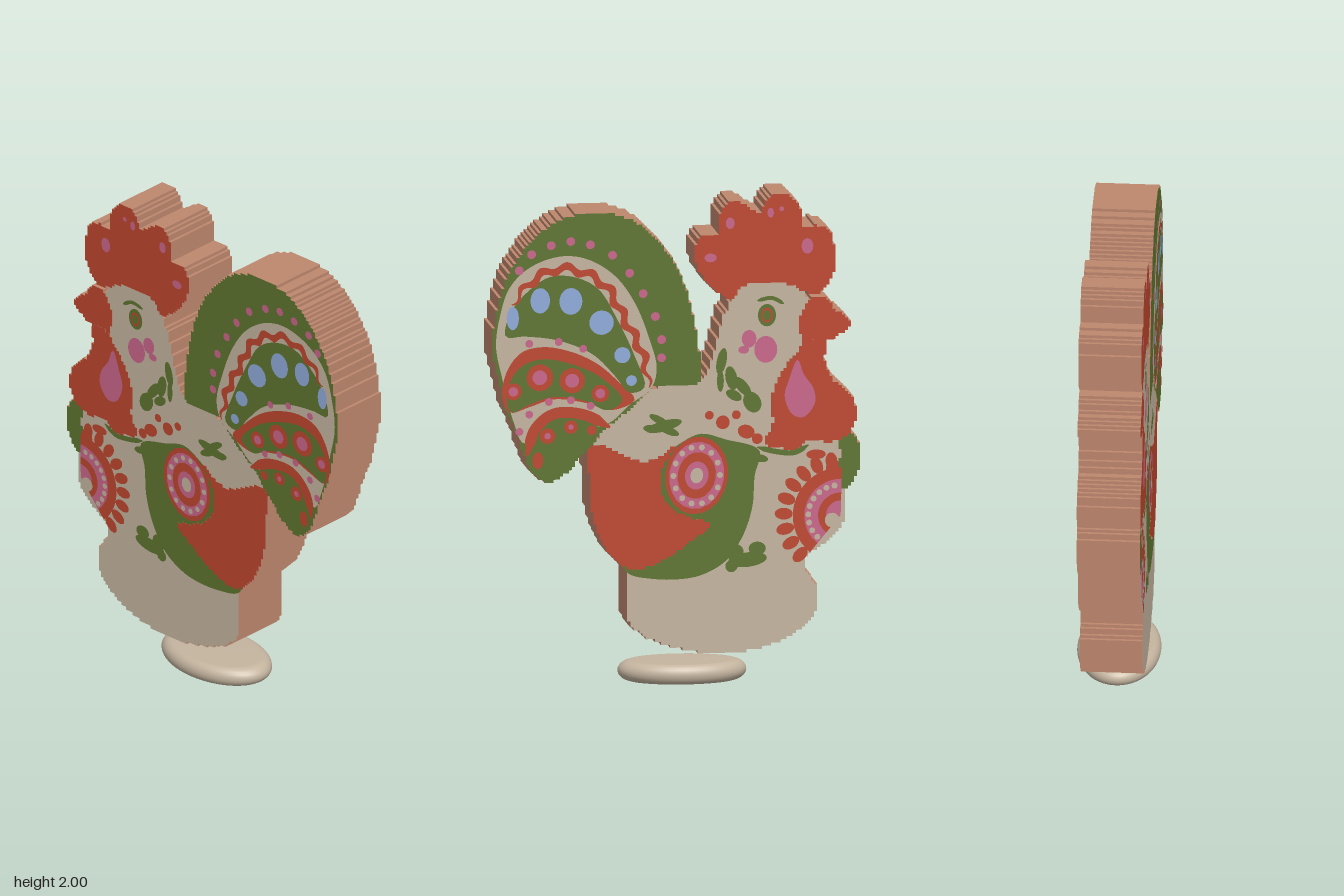
import * as THREE from 'three';

const paint = (name, color) => new THREE.MeshStandardMaterial({ name, color });
const cream = paint('cream', 0xc4b49f), wood = paint('wood', 0xbd866d), red = paint('red', 0xbd452d);
const green = paint('green', 0x5e742e), pink = paint('pink', 0xc9658a), blue = paint('blue', 0x8fabda);

const HALF = 0.127, LAYER = 0.0009, GRID = 0.0125;

// Smooth curve through flat x,y pairs
const spline = (p, closed, n) => {
  const v = [];
  for (let i = 0; i < p.length; i += 2) v.push(new THREE.Vector3(p[i], p[i + 1], 0));
  return new THREE.CatmullRomCurve3(v, closed, 'centripetal').getSpacedPoints(n).map(q => new THREE.Vector2(q.x, q.y));
};
const blob = p => new THREE.Shape(spline(p, true, p.length * 3));

// Outline snapped to a square grid, giving the stepped saw-cut edge
const stepped = p => {
  const out = [];
  const add = (x, y) => {
    const l = out[out.length - 1];
    if (!l || l.x !== x || l.y !== y) out.push(new THREE.Vector2(x, y));
  };
  for (const q of spline(p, true, 700)) {
    const x = Math.round(q.x / GRID) * GRID, y = Math.round(q.y / GRID) * GRID;
    const l = out[out.length - 1];
    if (l && l.x !== x && l.y !== y) add(x, l.y);
    add(x, y);
  }
  if (out[0].equals(out[out.length - 1])) out.pop();
  // keep only the corners
  return new THREE.Shape(out.filter((q, i) => {
    const a = out[(i + out.length - 1) % out.length], b = out[(i + 1) % out.length];
    return !((a.x === q.x && q.x === b.x) || (a.y === q.y && q.y === b.y));
  }));
};

// Ellipse, pie slice and ribbon shapes
const oval = (x, y, rx, ry = rx, tilt = 0) =>
  new THREE.Shape(new THREE.EllipseCurve(x, y, rx, ry, 0, Math.PI * 2, false, tilt).getPoints(20).slice(0, -1));
const pie = (x, y, r, a, b) => {
  const s = new THREE.Shape([new THREE.Vector2(x, y)]);
  for (let i = 0; i <= 20; i++) {
    const t = a + (b - a) * i / 20;
    s.lineTo(x + r * Math.cos(t), y + r * Math.sin(t));
  }
  return s;
};
const ribbon = (p, w, wave = 0, count = 0) => {
  const n = 90, c = spline(p, false, n), left = [], right = [];
  c.forEach((q, i) => {
    const t = c[Math.min(i + 1, n)].clone().sub(c[Math.max(i - 1, 0)]).normalize();
    const taper = w / 2 * Math.min(1, 0.2 + 6 * Math.min(i, n - i) / n);
    const o = wave * Math.sin(i / n * count * Math.PI * 2);
    left.push(new THREE.Vector2(q.x - t.y * (o + taper), q.y + t.x * (o + taper)));
    right.unshift(new THREE.Vector2(q.x - t.y * (o - taper), q.y + t.x * (o - taper)));
  });
  return new THREE.Shape(left.concat(right));
};

export function createModel() {
  const model = new THREE.Group();
  model.name = 'rooster';

  // Thick cut-out with painted faces and bare wooden sides
  const slab = (name, pts, face, layer) => {
    const h = HALF + layer * LAYER;
    const g = new THREE.ExtrudeGeometry(stepped(pts), { depth: 2 * h, bevelEnabled: false });
    g.translate(0, 0, -h);
    const m = new THREE.Mesh(g, [face, wood]);
    m.name = name;
    model.add(m);
  };
  // Paint on both the front and the back face
  const decal = (name, mat, layer, shapes) => {
    const group = new THREE.Group();
    group.name = name;
    const front = new THREE.ShapeGeometry(shapes), back = front.clone();
    const idx = back.index.array;
    for (let i = 0; i < idx.length; i += 3) [idx[i], idx[i + 1]] = [idx[i + 1], idx[i]];
    back.scale(1, 1, 1);
    back.attributes.normal.array.forEach((v, i, a) => { a[i] = -v; });
    [front, back].forEach((g, i) => {
      const m = new THREE.Mesh(g, mat);
      m.name = name + (i ? 'Back' : 'Front');
      m.position.z = (i ? -1 : 1) * (HALF + layer * LAYER);
      group.add(m);
    });
    model.add(group);
  };

  // Oval foot
  const profile = [new THREE.Vector2(0, 0)];
  for (let i = 0; i <= 12; i++) {
    const a = -Math.PI / 2 + Math.PI * i / 12;
    profile.push(new THREE.Vector2(0.135 + 0.035 * Math.cos(a), 0.041 + 0.041 * Math.sin(a)));
  }
  profile.push(new THREE.Vector2(0, 0.082));
  const foot = new THREE.Mesh(new THREE.LatheGeometry(profile, 64), cream);
  foot.name = 'foot';
  foot.scale.x = 0.262 / 0.17;
  foot.position.x = -0.04;
  model.add(foot);

  // Main cut-outs
  slab('body', [-.5, 1.65, -.53, 1.58, -.53, 1.45, -.56, 1.36, -.6, 1.3, -.63, 1.2, -.68, 1.12, -.68, 1, -.68, .9, -.69, .8,
    -.685, .66, -.635, .585, -.545, .52, -.52, .475, -.57, .39, -.58, .32, -.545, .25, -.455, .18, -.335, .14, -.18, .125,
    -.02, .145, .125, .2, .195, .265, .2, .41, .2, .47, .28, .56, .32, .65, .34, .76, .345, .9, .33, 1, .25, 1.1, .08, 1.22,
    -.1, 1.24, -.14, 1.315, -.165, 1.405, -.19, 1.5, -.23, 1.58, -.28, 1.68, -.4, 1.7], cream, 0);
  slab('comb', [-.57, 1.585, -.64, 1.67, -.645, 1.755, -.63, 1.845, -.57, 1.87, -.525, 1.86, -.51, 1.935, -.47, 1.99, -.425, 2,
    -.38, 1.985, -.34, 1.925, -.29, 1.955, -.235, 1.975, -.19, 1.945, -.17, 1.87, -.165, 1.835, -.11, 1.84, -.075, 1.785,
    -.09, 1.7, -.15, 1.62, -.23, 1.575, -.26, 1.62, -.35, 1.64, -.44, 1.635, -.52, 1.6], red, 1);
  slab('beak', [-.615, 1.57, -.56, 1.575, -.53, 1.55, -.5, 1.46, -.53, 1.38, -.62, 1.395, -.715, 1.46, -.69, 1.495, -.65, 1.52], red, 1);
  slab('wattle', [-.61, 1.385, -.605, 1.315, -.64, 1.235, -.715, 1.165, -.735, 1.075, -.69, 1, -.625, .98, -.545, .99, -.495, .955,
    -.415, .96, -.36, .98, -.395, 1.065, -.385, 1.155, -.425, 1.26, -.48, 1.34, -.545, 1.4], red, 2);
  slab('breastLeaf', [-.67, 1.02, -.73, 1, -.755, .93, -.74, .855, -.69, .79, -.65, .81, -.67, .92], green, 1);
  slab('tail', [-.09, 1.235, -.09, 1.395, -.07, 1.51, -.035, 1.635, .025, 1.755, .105, 1.855, .21, 1.92, .325, 1.94, .455, 1.92,
    .56, 1.855, .64, 1.765, .695, 1.67, .735, 1.525, .75, 1.395, .725, 1.26, .695, 1.145, .65, 1.035, .615, .935, .575, .865,
    .515, .84, .45, .875, .4, .93, .35, .98, .3, 1.045, .19, 1.13, .1, 1.22], green, 1);
  slab('redWing', [.35, .98, .355, .85, .35, .75, .325, .64, .28, .55, .22, .49, .165, .475, .06, .505, -.05, .58, -.14, .655,
    -.07, .68, .03, .73, .065, .82, .05, .9, 0, .98, .06, .94, .13, .915, .22, .945, .3, .985], red, 2);

  // Wing underlay and its round medallion
  decal('greenWing', green, 1, [blob([-.34, .95, -.2, 1, -.1, 1.025, -.02, .99, .06, .93, .14, .85, .2, .7, .22, .49, .19, .455,
    .1, .435, 0, .43, -.1, .445, -.2, .5, -.27, .6, -.31, .72, -.32, .85])]);
  [[.128, .16, red], [.112, .138, pink], [.078, .096, red], [.048, .058, pink], [.026, .032, cream]].forEach(([rx, ry, m], i) =>
    decal('medallionRing' + i, m, 3 + i, [oval(-.083, .855, rx, ry, .15)]));
  const flecks = [], petals = [], petalFlecks = [];
  for (let i = 0; i < 14; i++) {
    const a = i / 14 * Math.PI * 2;
    flecks.push(oval(-.083 + .095 * Math.cos(a), .855 + .117 * Math.sin(a), .012));
  }
  decal('medallionFlecks', cream, 5, flecks);

  // Breast flower
  for (let i = 0; i < 9; i++) {
    const a = -.8 + 2.25 * i / 8;
    petals.push(oval(-.66 + .222 * Math.cos(a), .68 + .222 * Math.sin(a), .037, .024, a));
    petalFlecks.push(oval(-.66 + .122 * Math.cos(a), .68 + .122 * Math.sin(a), .012));
  }
  decal('flowerPetals', red, 1, petals);
  decal('flowerSpray', red, 1, [oval(-.64, .87, .03, .04), oval(-.57, .93, .04, .02), oval(-.6, .83, .025)]);
  [[.195, red], [.148, pink], [.092, red], [.06, pink]].forEach(([r, m], i) =>
    decal('flowerRing' + i, m, 2 + i, [pie(-.67, .68, r, -.88, 1.6)]));
  decal('flowerFlecks', cream, 4, petalFlecks);
  decal('flowerHeart', cream, 6, [oval(-.635, .66, .03)]);

  // Tail feathers, from the outer band inwards
  decal('outerDots', pink, 2, [[.06, 1.34], [.06, 1.415], [.085, 1.51], [.135, 1.605], [.19, 1.69], [.26, 1.765], [.35, 1.81],
    [.43, 1.825], [.51, 1.81], [.59, 1.775], [.64, 1.71]].map(([x, y]) => oval(x, y, .018)));
  decal('creamFeather', cream, 2, [blob([.1, 1.22, .08, 1.3, .11, 1.42, .17, 1.57, .25, 1.68, .36, 1.75, .47, 1.765, .6, 1.72,
    .68, 1.64, .72, 1.52, .735, 1.4, .71, 1.27, .66, 1.08, .62, 1, .5, 1.08, .36, 1.06, .27, 1.08, .19, 1.15])]);
  decal('greenFeather', green, 3, [blob([.13, 1.22, .17, 1.35, .24, 1.5, .32, 1.63, .42, 1.68, .52, 1.68, .62, 1.61, .68, 1.53,
    .695, 1.44, .62, 1.44, .48, 1.42, .34, 1.36, .25, 1.27, .19, 1.2])]);
  decal('wavyBand', red, 4, [ribbon([.11, 1.22, .14, 1.36, .21, 1.5, .29, 1.64, .4, 1.705, .5, 1.71, .6, 1.655, .67, 1.57], .032, .012, 9)]);
  decal('blueSpots', blue, 4, [oval(.305, 1.49, .05), oval(.43, 1.58, .047, .055), oval(.555, 1.585, .04, .052),
    oval(.667, 1.515, .025, .048), oval(.22, 1.355, .033), oval(.183, 1.25, .022)]);
  decal('redFeather', red, 3, [blob([.17, 1.17, .24, 1.25, .32, 1.32, .42, 1.37, .54, 1.395, .63, 1.375, .69, 1.3, .71, 1.2,
    .68, 1.13, .6, 1.15, .5, 1.18, .36, 1.16, .27, 1.13])]);
  decal('middleFeather', green, 4, [blob([.22, 1.17, .3, 1.26, .42, 1.32, .55, 1.345, .64, 1.31, .69, 1.22, .675, 1.13, .6, 1.16,
    .5, 1.19, .37, 1.17, .28, 1.13])]);
  const berries = [[.31, 1.2, .036], [.425, 1.255, .052], [.557, 1.27, .055], [.665, 1.215, .035]];
  decal('berries', red, 5, berries.map(([x, y, r]) => oval(x, y, r)));
  decal('berryHearts', pink, 6, berries.map(([x, y, r]) => oval(x, y, r * .55)));
  decal('featherFlecks', pink, 5, [[.35, 1.15], [.43, 1.175], [.52, 1.17], [.6, 1.12], [.64, 1.05], [.38, 1.385], [.48, 1.415], [.6, 1.41]]
    .map(([x, y]) => oval(x, y, .016)));
  decal('lowerBand', red, 4, [ribbon([.27, 1.06, .38, 1.115, .5, 1.12, .575, 1.06, .61, .95], .045)]);
  decal('lowerFeather', green, 3, [blob([.31, 1.05, .4, 1.1, .5, 1.1, .57, 1.03, .595, .93, .56, .87, .5, .87, .4, .95])]);
  decal('lowerBerries', red, 4, [oval(.43, 1.065, .028), oval(.525, 1.03, .032), oval(.565, .93, .022, .035), oval(.345, 1.05, .02)]);
  decal('lowerBerryHearts', pink, 5, [oval(.43, 1.065, .011), oval(.525, 1.03, .013)]);

  // Leaves on the neck, saddle and belly
  decal('neckLeaves', green, 1, [oval(-.31, 1.15, .035, .045, -.5), oval(-.27, 1.215, .022, .05, -.7), oval(-.225, 1.25, .024, .05, -.2),
    oval(-.185, 1.32, .02, .055, .2), oval(-.235, 1.18, .035, .02, .5), oval(-.18, 1.24, .014, .045)]);
  decal('saddleLeaves', green, 1, [oval(.05, 1.06, .075, .022, -.25), oval(.07, 1.085, .045, .015, .5), oval(.03, 1.04, .045, .016, .4),
    oval(.1, 1.05, .035, .016, .1)]);
  decal('bellyLeaves', green, 2, [oval(-.33, .55, .035, .028), oval(-.29, .505, .08, .03, -.1), oval(-.24, .535, .035, .035), oval(-.225, .48, .025)]);
  decal('collarLine', green, 3, [ribbon([-.54, .97, -.48, .94, -.41, .945, -.33, .965], .022), oval(-.34, .92, .035, .016, .2)]);
  decal('collarDots', red, 2, [oval(-.285, 1.03, .035, .028, .3), oval(-.19, 1.07, .028), oval(-.135, 1.1, .018), oval(-.245, 1.1, .018),
    oval(-.33, 1.0, .022)]);

  // Face
  decal('eye', green, 1, [oval(-.37, 1.505, .037, .046), ribbon([-.44, 1.55, -.39, 1.575, -.33, 1.565], .016)]);
  decal('eyeRing', red, 2, [oval(-.37, 1.505, .024, .031)]);
  decal('pupil', green, 3, [oval(-.37, 1.505, .016, .022)]);
  decal('cheeks', pink, 1, [oval(-.365, 1.365, .047, .055), oval(-.297, 1.41, .03, .036), oval(-.275, 1.365, .022, .016)]);
  decal('wattleDrop', pink, 3, [blob([-.495, 1.32, -.46, 1.24, -.442, 1.17, -.475, 1.095, -.52, 1.085, -.565, 1.14, -.56, 1.2, -.52, 1.26])]);
  decal('combDots', pink, 2, [oval(-.535, 1.785, .024, .032), oval(-.22, 1.885, .018, .024), oval(-.14, 1.745, .025, .018),
    oval(-.385, 1.925, .013, .02), oval(-.43, 1.94, .01)]);

  return model;
}
